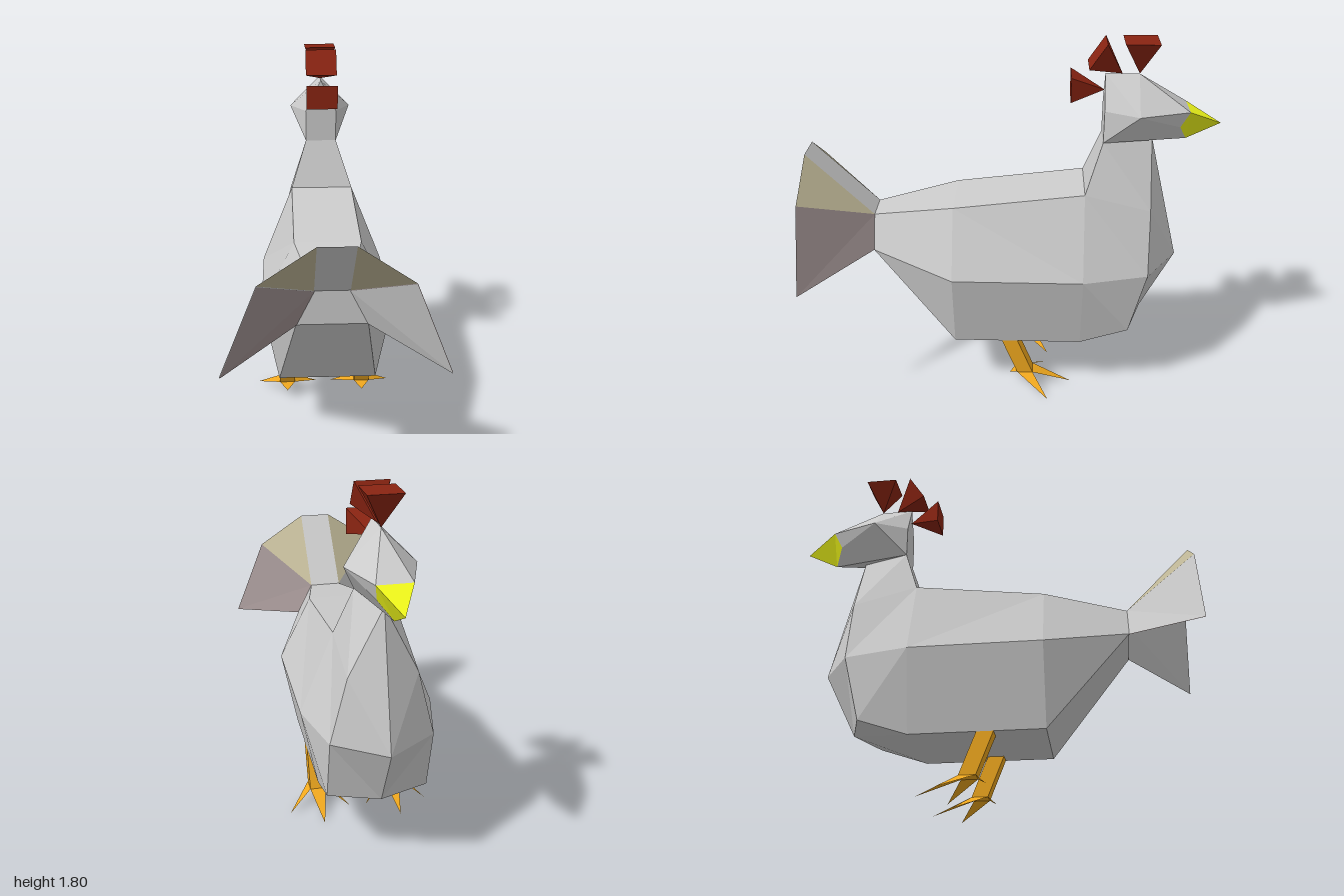
import * as THREE from 'three';

// Flat-shaded shell mirrored in x. "spine" is a chain of points bridged across to their
// mirror images; "sides" are +x polygons. Every triangle is turned away from "core".
function shell(name, color, core, spine, sides, { side = THREE.FrontSide, halves = [1, -1] } = {}) {
  const pos = [];
  const tri = (pts, c) => {
    const [a, b, d] = pts.map((p) => new THREE.Vector3(...p));
    const n = b.clone().sub(a).cross(d.clone().sub(a));
    const out = n.dot(a.clone().sub(c)) >= 0;
    for (const v of out ? [a, b, d] : [a, d, b]) pos.push(v.x, v.y, v.z);
  };
  const flip = ([x, y, z], s) => [x * s, y, z];
  for (const s of halves) {
    const c = new THREE.Vector3(core[0] * s, core[1], core[2]);
    for (const poly of sides) {
      const q = poly.map((p) => flip(p, s));
      for (let i = 1; i < q.length - 1; i++) tri([q[0], q[i], q[i + 1]], c);
    }
  }
  const c = new THREE.Vector3(...core);
  for (let i = 0; i < spine.length - 1; i++) {
    const a = spine[i], b = spine[i + 1];
    tri([a, b, flip(b, -1)], c);
    tri([a, flip(b, -1), flip(a, -1)], c);
  }
  const geo = new THREE.BufferGeometry();
  geo.setAttribute('position', new THREE.Float32BufferAttribute(pos, 3));
  geo.computeVertexNormals();
  const mesh = new THREE.Mesh(geo, new THREE.MeshStandardMaterial({ color, flatShading: true, side }));
  mesh.name = name;
  return mesh;
}

const GREY = 0xcccccc, RED = 0x8a2412, YELLOW = 0xf0f81a, ORANGE = 0xf0a81e, OLIVE = 0xbdb595, MAUVE = 0xa09292;
const mid = ([, y, z]) => [0, y, z];

export function createModel() {
  const group = new THREE.Group();

  // Shared landmarks (+x half)
  const rumpTop = [0.08, 0.92, 0.68], rumpLow = [0.16, 0.76, 0.68];
  const backTop = [0.16, 1.0, 0.28], backMid = [0.32, 0.68, 0.28], bellyBack = [0.24, 0.28, 0.28];
  const neckBase = [0.16, 1.08, -0.36], shoulder = [0.32, 0.68, -0.36], bellyFront = [0.24, 0.28, -0.36];
  const breastTop = [0.16, 1.0, -0.68], breastMid = [0.24, 0.68, -0.68], breastLow = [0.24, 0.36, -0.6];
  const keel = [0, 0.68, -0.84], keelLow = [0, 0.36, -0.68];
  const neckTop = [0.08, 1.32, -0.44], chin = [0, 1.32, -0.68];
  const nape = [0.08, 1.48, -0.44], cheek = [0.16, 1.48, -0.6];
  const crownBack = [0, 1.64, -0.44], crownFront = [0, 1.64, -0.6];
  const beakTop = [0.08, 1.48, -0.84], beakMid = [0.064, 1.4, -0.8], beakLow = [0, 1.32, -0.84], beakTip = [0, 1.4, -1];

  // Body and neck
  group.add(shell('body', GREY, [0, 0.7, -0.45],
    [bellyFront, bellyBack, rumpLow, rumpTop, backTop, neckBase, neckTop],
    [
      [rumpTop, backTop, backMid, rumpLow],
      [rumpLow, backMid, bellyBack],
      [backTop, neckBase, shoulder, backMid],
      [backMid, shoulder, bellyFront, bellyBack],
      [neckBase, neckTop, breastTop],
      [neckTop, chin, breastTop],
      [neckBase, breastTop, breastMid, shoulder],
      [shoulder, breastMid, breastLow, bellyFront],
      [chin, keel, breastTop],
      [breastTop, keel, breastMid],
      [breastMid, keel, keelLow, breastLow],
      [bellyFront, breastLow, keelLow, mid(bellyFront)],
    ]));

  // Head
  group.add(shell('head', GREY, [0, 1.45, -0.62], [neckTop, nape],
    [
      [nape, crownBack, mid(nape)],
      [neckTop, nape, cheek],
      [nape, crownBack, cheek],
      [crownBack, crownFront, cheek],
      [crownFront, beakTop, cheek],
      [crownFront, beakTop, mid(beakTop)],
      [cheek, beakTop, beakMid],
      [neckTop, cheek, beakMid, beakLow],
      [neckTop, beakLow, chin],
    ]));

  // Beak
  group.add(shell('beak', YELLOW, [0, 1.42, -0.86], [],
    [
      [mid(beakTop), beakTop, beakTip],
      [beakTop, beakLow, beakTip],
      [beakTop, beakMid, beakLow],
    ]));

  // Comb: three pyramids standing on their tips
  const combs = [
    [[0.08, 1.8, -0.68], [0.08, 1.8, -0.52], [0, 1.64, -0.6]],
    [[0.08, 1.8, -0.44], [0.08, 1.68, -0.36], [0, 1.64, -0.52]],
    [[0.08, 1.64, -0.28], [0.08, 1.52, -0.28], [0, 1.56, -0.44]],
  ];
  combs.forEach(([a, b, tip], i) => {
    const core = [0, (a[1] + b[1] + tip[1]) / 3, (a[2] + b[2] + tip[2]) / 3];
    group.add(shell(`comb${i + 1}`, RED, core, [a, b], [[a, b, tip], [a, mid(a), tip], [b, mid(b), tip]]));
  });

  // Tail fan: thin feathers, the lowest pair two-layered with a different colour on each face
  const tailTop = [0.08, 1.24, 1], tailSide = [0.32, 1.08, 1], tailLow = [0.48, 0.68, 1];
  const inside = [0, 0.7, 1], outside = [1, 1.2, 0.5];
  const thin = { side: THREE.DoubleSide };
  const outer = [rumpTop, tailSide, tailLow, rumpLow];
  const inner = outer.map(([x, y, z]) => [x - 0.002, y - 0.002, z + 0.002]);
  group.add(
    shell('tailCentre', GREY, inside, [rumpTop, tailTop], [], thin),
    shell('tailUpperFeathers', OLIVE, inside, [], [[rumpTop, tailTop, tailSide]], thin),
    shell('tailLeftOuter', MAUVE, inside, [], [outer], { ...thin, halves: [1] }),
    shell('tailLeftInner', GREY, outside, [], [inner], { ...thin, halves: [1] }),
    shell('tailRightOuter', GREY, inside, [], [outer], { ...thin, halves: [-1] }),
    shell('tailRightInner', MAUVE, outside, [], [inner], { ...thin, halves: [-1] }),
  );

  // Legs: sheared square shank with four flat splayed toes
  const hipB = [0.04, 0.28, 0.04], hipF = [0.04, 0.28, -0.04];
  const ankleB = [0.04, 0.08, -0.04], ankleF = [0.04, 0.08, -0.12];
  const frontToe = [0, 0, -0.32], backToe = [0, 0.05, 0], sideToe = [0.16, 0, -0.2];
  for (const s of [1, -1]) {
    const leg = shell(s > 0 ? 'leftLeg' : 'rightLeg', ORANGE, [0, 0.09, -0.076],
      [ankleF, ankleB, hipB, hipF, ankleF],
      [
        [hipB, hipF, ankleF, ankleB],
        [ankleF, mid(ankleF), frontToe],
        [ankleB, mid(ankleB), backToe],
        [ankleB, ankleF, sideToe],
      ], thin);
    leg.position.x = 0.2 * s;
    group.add(leg);
  }
  return group;
}
